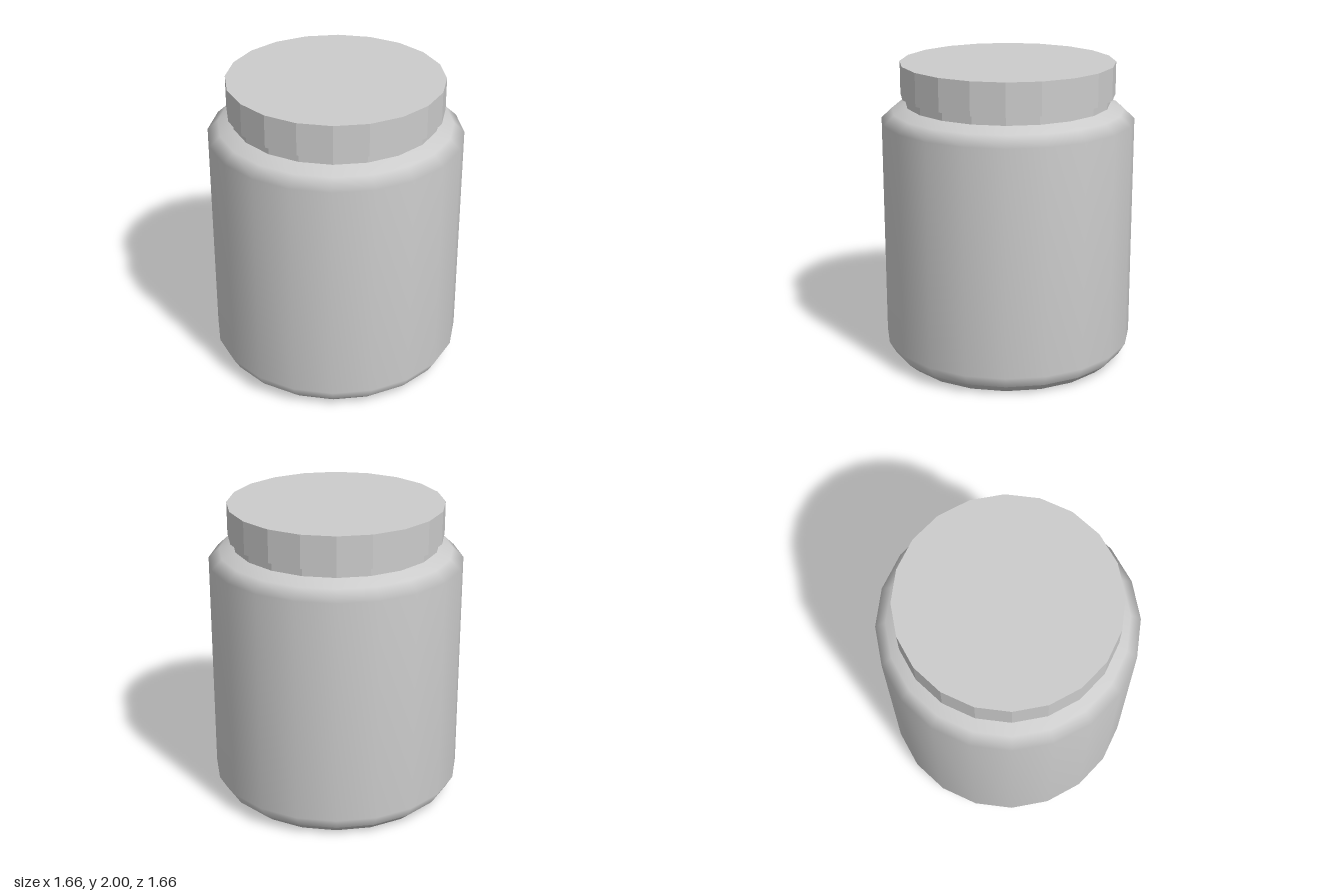
import * as THREE from 'three';

const SIDES = 20;

export function createModel() {
  const group = new THREE.Group();
  const smooth = new THREE.MeshStandardMaterial({ color: 0xcccccc });
  const faceted = new THREE.MeshStandardMaterial({ color: 0xcccccc, flatShading: true });

  const add = (name, geometry, material) => {
    const mesh = new THREE.Mesh(geometry, material);
    mesh.name = name;
    group.add(mesh);
    return mesh;
  };
  const lathe = (profile) =>
    new THREE.LatheGeometry(profile.map(([r, y]) => new THREE.Vector2(r, y)), SIDES);

  // Base: flat underside with its lower bevel
  add('base', lathe([[0, 0], [0.72, 0], [0.785, 0.057]]), smooth);

  // Jar wall: rounded foot, straight side and sloping shoulder
  add('jarBody', lathe([
    [0.785, 0.057], [0.83, 0.135], [0.83, 1.625], [0.76, 1.69], [0.665, 1.73],
  ]), smooth);

  // Neck between shoulder and lid
  const neck = add('neck', new THREE.CylinderGeometry(0.67, 0.67, 0.06, SIDES, 1, true), faceted);
  neck.position.y = 1.758;

  // Lid: wide flat disc overhanging the neck
  const lid = add('lid', new THREE.CylinderGeometry(0.702, 0.702, 0.214, SIDES), faceted);
  lid.position.y = 1.893;

  return group;
}
